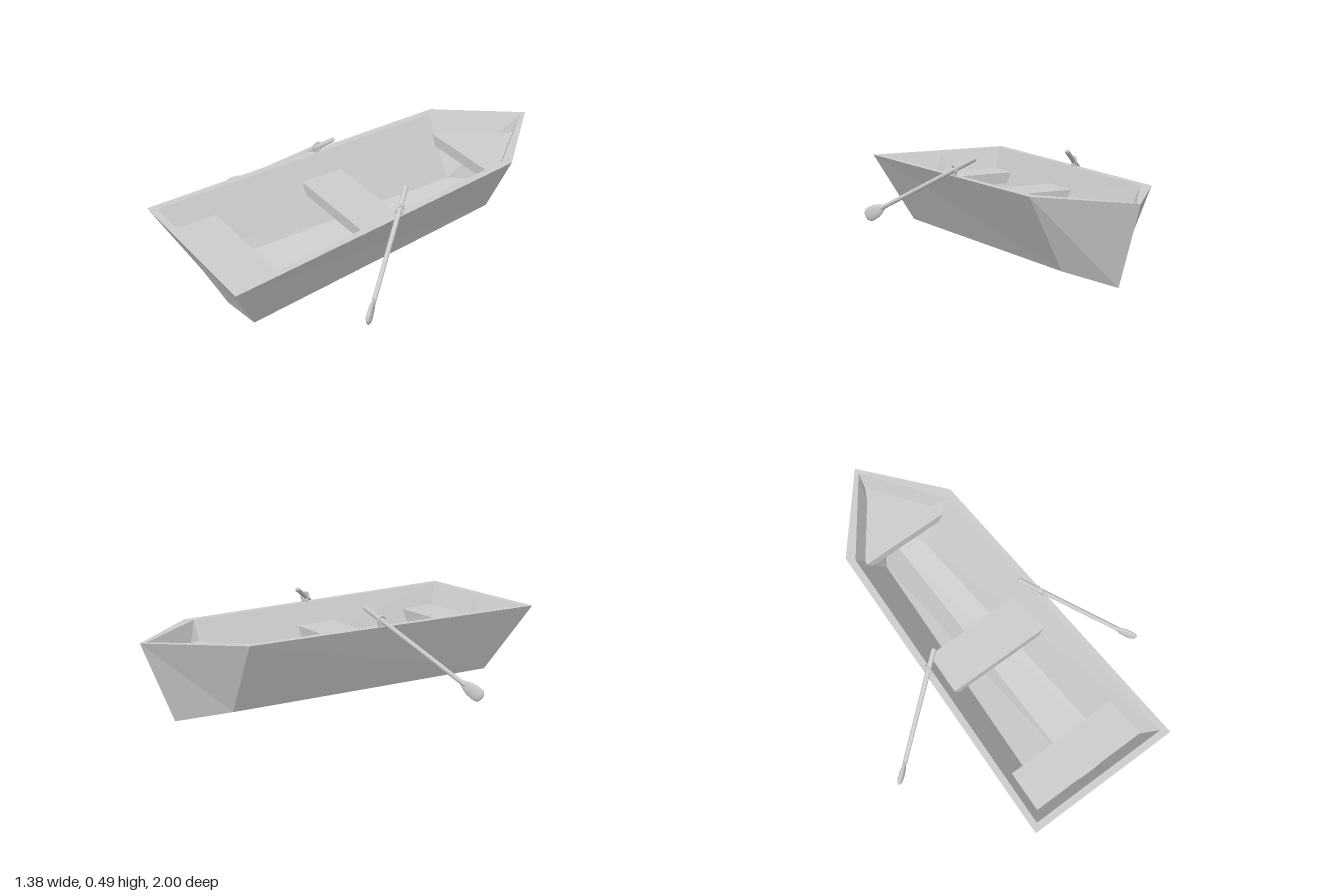
import * as THREE from 'three';

const grey = new THREE.MeshStandardMaterial({ color: 0xcccccc });
grey.name = 'paleGrey';
grey.flatShading = true;
const smoothGrey = grey;

function add(parent, geometry, name, material = grey) {
  const mesh = new THREE.Mesh(geometry, material);
  mesh.name = name;
  parent.add(mesh);
  return mesh;
}

// Five-point section: rim, chine, keel, chine, rim
function section(rim, chine, keel) {
  const flip = ([x, y, z]) => [-x, y, z];
  return [rim, chine, keel, flip(chine), flip(rim)];
}

// Hollow hull: outer skin, inner skin and the flat rim joining them
function hullGeometry() {
  const outer = [
    section([0.395, 0.393, 1], [0.235, 0.05, 0.83], [0, 0.008, 0.83]),
    section([0.318, 0.393, -0.62], [0.155, 0.046, -0.62], [0, 0.003, -0.62]),
    section([0, 0.393, -1], [0, 0, -0.84], [0, 0, -0.84]),
  ];
  const inner = [
    section([0.362, 0.393, 0.965], [0.205, 0.085, 0.8], [0, 0.048, 0.8]),
    section([0.283, 0.393, -0.585], [0.12, 0.082, -0.585], [0, 0.044, -0.585]),
    section([0, 0.393, -0.967], [0, 0.044, -0.8], [0, 0.044, -0.8]),
  ];
  const pos = [];
  const tri = (a, b, c) => pos.push(...a, ...b, ...c);

  for (const [skin, flip] of [[outer, false], [inner, true]]) {
    const face = (a, b, c) => (flip ? tri(a, c, b) : tri(a, b, c));
    for (let s = 0; s < 2; s++) {
      for (let i = 0; i < 4; i++) {
        face(skin[s][i], skin[s][i + 1], skin[s + 1][i + 1]);
        face(skin[s][i], skin[s + 1][i + 1], skin[s + 1][i]);
      }
    }
    // Transom, fanned from the middle of its top edge
    const stern = skin[0];
    const mid = [0, stern[0][1], stern[0][2]];
    for (let i = 0; i < 4; i++) face(mid, stern[i + 1], stern[i]);
  }

  // Rim
  const loop = (k) => [k[0][0], k[1][0], k[2][0], k[1][4], k[0][4]];
  const o = loop(outer), n = loop(inner);
  for (let i = 0; i < 5; i++) {
    const j = (i + 1) % 5;
    tri(o[i], o[j], n[j]);
    tri(o[i], n[j], n[i]);
  }
  const g = new THREE.BufferGeometry();
  g.setAttribute('position', new THREE.Float32BufferAttribute(pos, 3));
  g.computeVertexNormals();
  return g;
}

// Plank from one half of its outline in (x, z), narrowed below to suit the hull sides
function plankGeometry(half, top, thick = 0.06) {
  const right = half.map(([x, z]) => new THREE.Vector2(x, -z));
  const left = half.filter(([x]) => x > 0).reverse().map(([x, z]) => new THREE.Vector2(-x, -z));
  const g = new THREE.ExtrudeGeometry(new THREE.Shape([...right, ...left]), { depth: thick, bevelEnabled: false });
  g.rotateX(-Math.PI / 2);
  const p = g.attributes.position;
  for (let i = 0; i < p.count; i++) if (p.getY(i) < thick / 2) p.setX(i, p.getX(i) * 0.9);
  g.translate(0, top - thick, 0);
  g.computeVertexNormals();
  return g;
}

// Oar running from grip to tip, its blade standing in a vertical plane
function makeOar(name, grip, tip) {
  const oar = new THREE.Group();
  oar.name = name;
  const a = new THREE.Vector3(...grip);
  const dir = new THREE.Vector3(...tip).sub(a);
  const length = dir.length();
  dir.normalize();
  const thin = new THREE.Vector3().crossVectors(dir, new THREE.Vector3(0, 1, 0)).normalize();
  const wide = new THREE.Vector3().crossVectors(dir, thin);
  oar.setRotationFromMatrix(new THREE.Matrix4().makeBasis(wide, dir, thin));
  oar.position.copy(a);

  const v = (r, y) => new THREE.Vector2(r, y);
  const neck = length - 0.125;
  add(oar, new THREE.LatheGeometry(
    [v(0, -0.004), v(0.009, 0), v(0.012, 0.008), v(0.011, neck + 0.02), v(0, neck + 0.03)], 10), 'oarShaft', smoothGrey);
  const blade = new THREE.LatheGeometry(
    [v(0, 0), v(0.012, 0.002), v(0.024, 0.026), v(0.033, 0.05), v(0.037, 0.085),
      v(0.034, 0.108), v(0.022, 0.121), v(0, 0.126)], 16);
  blade.scale(1, 1, 0.36);
  blade.translate(0, neck, 0);
  add(oar, blade, 'oarBlade', smoothGrey);
  return oar;
}

// Ring on a short foot, standing on the rim
function makeOarlock(name, x) {
  const lock = new THREE.Group();
  lock.name = name;
  add(lock, new THREE.TorusGeometry(0.021, 0.0055, 8, 16).rotateY(Math.PI / 2), 'oarlockRing', smoothGrey)
    .position.y = 0.421;
  add(lock, new THREE.BoxGeometry(0.012, 0.012, 0.036), 'oarlockFoot').position.y = 0.396;
  lock.position.set(x, 0, 0.09);
  return lock;
}

export function createModel() {
  const model = new THREE.Group();
  model.name = 'rowingBoat';

  // Boat body sits slightly to the left of centre
  const boat = new THREE.Group();
  boat.name = 'boat';
  boat.position.x = 0.045;
  model.add(boat);
  add(boat, hullGeometry(), 'hull');
  add(boat, plankGeometry([[0.312, 0.91], [0.3, 0.7]], 0.285), 'sternSeat');
  add(boat, plankGeometry([[0.278, 0.22], [0.265, 0]], 0.29), 'middleSeat');
  add(boat, plankGeometry([[0.238, -0.57], [0.205, -0.645], [0, -0.925]], 0.3), 'bowSeat');

  // Oars and their locks
  model.add(makeOar('rightOar', [-0.215, 0.48, 0.04], [-0.685, 0.087, 0.385]));
  model.add(makeOar('leftOar', [0.315, 0.48, 0.0], [0.685, 0.155, 0.495]));
  model.add(makeOarlock('rightOarlock', -0.288));
  model.add(makeOarlock('leftOarlock', 0.382));
  return model;
}
